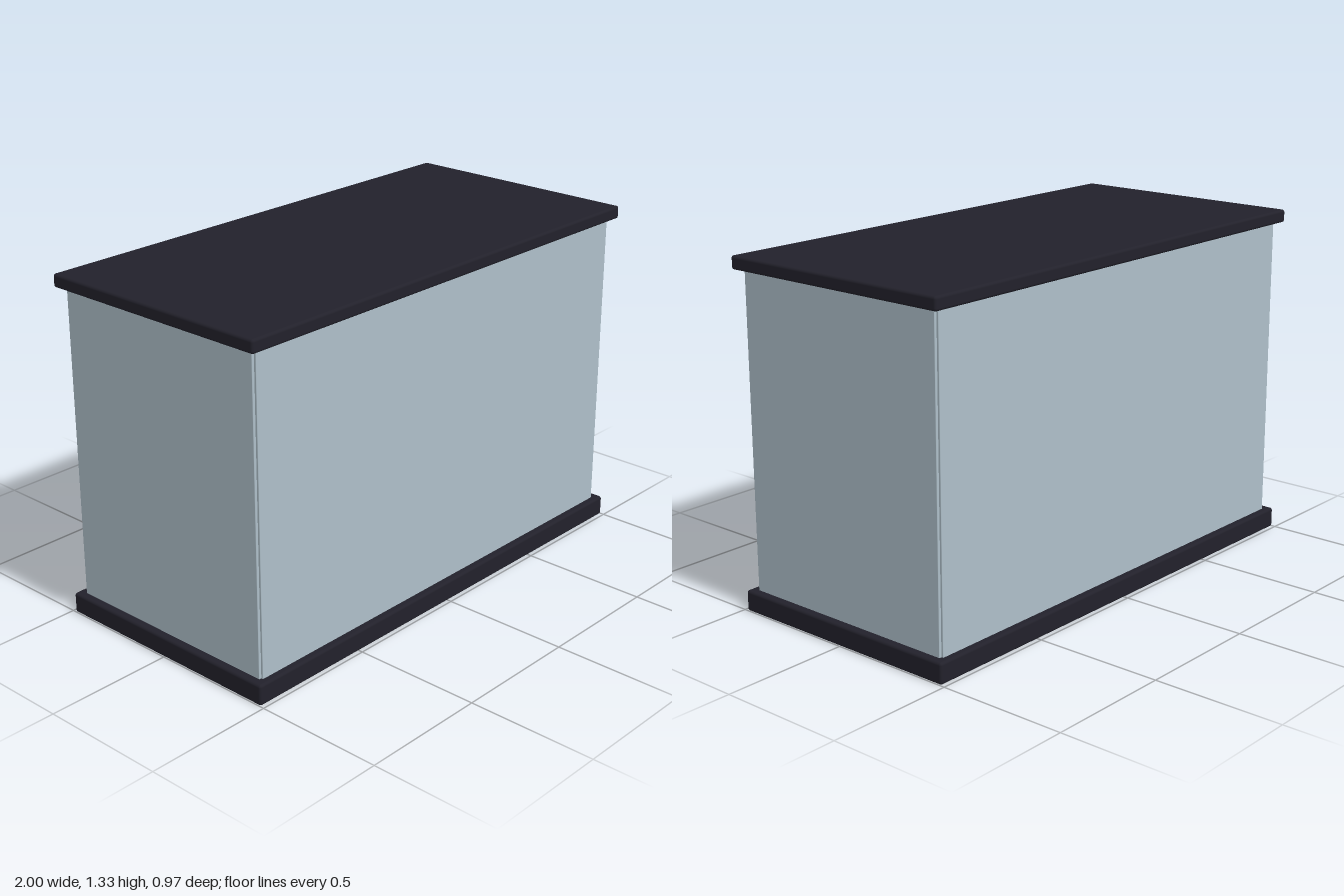
import * as THREE from 'three';
import { RoundedBoxGeometry } from 'three/addons/geometries/RoundedBoxGeometry.js';

export function createModel() {
  const tank = new THREE.Group();
  tank.name = 'glassTank';

  const trim = new THREE.MeshStandardMaterial({ color: 0x22212b });
  trim.name = 'dark trim';
  const glass = new THREE.MeshStandardMaterial({ color: 0xaebfc9 });
  glass.name = 'pale glass';

  function slab(name, material, size, position, radius) {
    const mesh = new THREE.Mesh(new RoundedBoxGeometry(...size, 3, radius), material);
    mesh.name = name;
    mesh.position.set(...position);
    tank.add(mesh);
  }

  // Base and lid, overhanging the glass on every side
  slab('base', trim, [2, 0.08, 0.974], [0, 0.04, 0], 0.01);
  slab('lid', trim, [2, 0.05, 0.974], [0, 1.3, 0], 0.01);

  // Four thin panes, stepped where they meet at the corners
  const bottom = 0.07, top = 1.285, thick = 0.02;
  const height = top - bottom, midY = (top + bottom) / 2;
  for (const s of [1, -1]) {
    slab(s > 0 ? 'frontPane' : 'backPane', glass,
      [1.92, height, thick], [0, midY, s * (0.46 - thick / 2)], 0.002);
    slab(s > 0 ? 'leftPane' : 'rightPane', glass,
      [thick, height, 0.904], [s * (0.97 - thick / 2), midY, 0], 0.002);
  }

  return tank;
}
